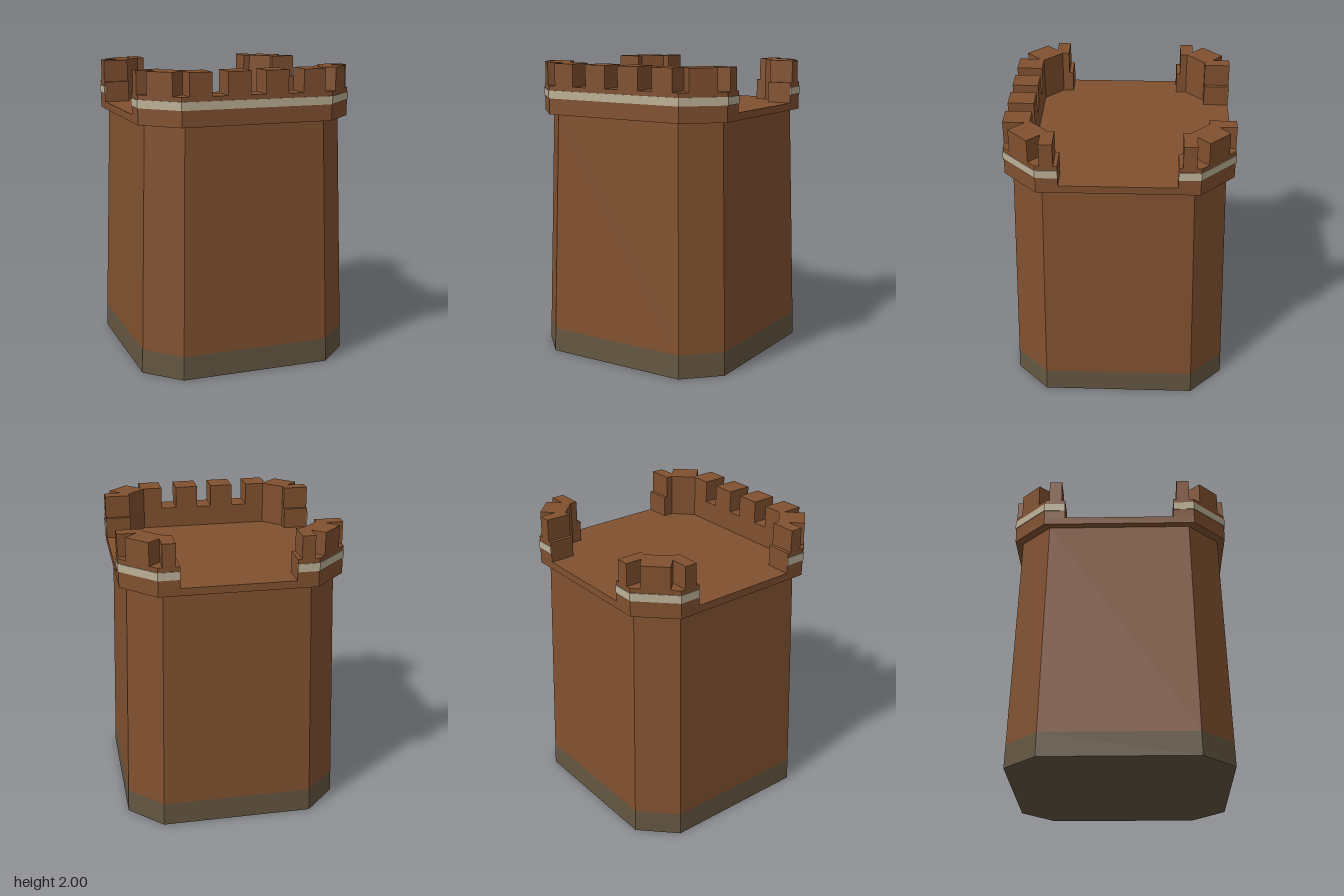
import * as THREE from 'three';

const brick = new THREE.MeshStandardMaterial({ name: 'brick brown', color: 0x80502f });
const stone = new THREE.MeshStandardMaterial({ name: 'dark stone', color: 0x635540 });
const trim = new THREE.MeshStandardMaterial({ name: 'pale trim', color: 0xbcb096 });

const flip = (pts, sx, sz) => pts.map(([x, z]) => [x * sx, z * sz]);
// a half outline given from the centre line outwards, closed by its mirror image in x
const mirrored = (pts) => [...pts, ...flip(pts, -1, 1).reverse()];

// prism over an outline of [x, z] points, from y0 to y1
function prism(pts, y0, y1) {
  const shape = new THREE.Shape(pts.map(([x, z]) => new THREE.Vector2(x, -z)));
  const geo = new THREE.ExtrudeGeometry(shape, { depth: y1 - y0, bevelEnabled: false });
  return geo.rotateX(-Math.PI / 2).translate(0, y0, 0);
}

// narrows a prism towards the top of the tower
function taper(geo) {
  const p = geo.attributes.position;
  for (let i = 0; i < p.count; i++) {
    const s = 1 - 0.0685 * p.getY(i) / 1.66;
    p.setXYZ(i, p.getX(i) * s, p.getY(i), p.getZ(i) * s);
  }
  geo.computeVertexNormals();
  return geo;
}

export function createModel() {
  const group = new THREE.Group();
  group.name = 'castleTower';
  const add = (name, geo, mat) => {
    const mesh = new THREE.Mesh(geo, mat);
    mesh.name = name;
    group.add(mesh);
  };

  // chamfered square shaft on a stone plinth, with the overhanging roof deck
  const octagon = mirrored([[0.51, 0.73], [0.73, 0.51], [0.73, -0.51], [0.51, -0.73]]);
  add('plinth', taper(prism(octagon, 0, 0.16)), stone);
  add('shaft', taper(prism(octagon, 0.16, 1.66)), brick);
  add('roofDeck', prism(octagon, 1.66, 1.71), brick);

  // front parapet wraps round both front corners; the back has two corner pieces
  const inner = [[0.44, 0.56], [0.56, 0.44], [0.56, 0.37]];
  const outer = [[0.73, 0.37], [0.73, 0.51], [0.51, 0.73]];
  add('frontParapet', prism(mirrored([...inner, ...outer]), 1.71, 1.85), brick);

  // pale band, standing slightly proud of the parapet
  const bandIn = [[0.51, 0.73], [0.73, 0.51], [0.73, 0.37]];
  const bandOut = [[0.735, 0.37], [0.735, 0.512], [0.512, 0.735]];
  add('frontBand', prism(mirrored([...bandIn, ...bandOut]), 1.767, 1.82), trim);

  // corner merlon outline with two wedge notches; x0 is its end along the wall
  const cornerMerlon = (x0, nx, nz) => [
    [x0, 0.56], [0.44, 0.56], [0.56, 0.44], [0.56, 0.395], [0.73, 0.395],
    [0.73, 0.48], [0.61, 0.48], [0.685, 0.555],
    [0.555, 0.685], [nx, nz], [nx, 0.73], [x0, 0.73],
  ];

  for (const [side, s] of [['left', 1], ['right', -1]]) {
    const backWall = [[0.37, 0.56], ...inner, ...outer, [0.37, 0.73]];
    const backBand = [[0.37, 0.73], ...bandIn, ...bandOut, [0.37, 0.735]];
    add(side + 'BackParapet', prism(flip(backWall, s, -1), 1.71, 1.85), brick);
    add(side + 'BackBand', prism(flip(backBand, s, -1), 1.767, 1.82), trim);
    add(side + 'BackCornerMerlon', prism(flip(cornerMerlon(0.395, 0.48, 0.62), s, -1), 1.85, 2), brick);
    add(side + 'FrontCornerMerlon', prism(flip(cornerMerlon(0.31, 0.46, 0.59), s, 1), 1.85, 2), brick);
    // plain merlon on the front wall
    const merlon = [[0.05, 0.56], [0.205, 0.56], [0.205, 0.73], [0.05, 0.73]];
    add(side + 'FrontMerlon', prism(flip(merlon, s, 1), 1.85, 2), brick);
  }
  return group;
}
